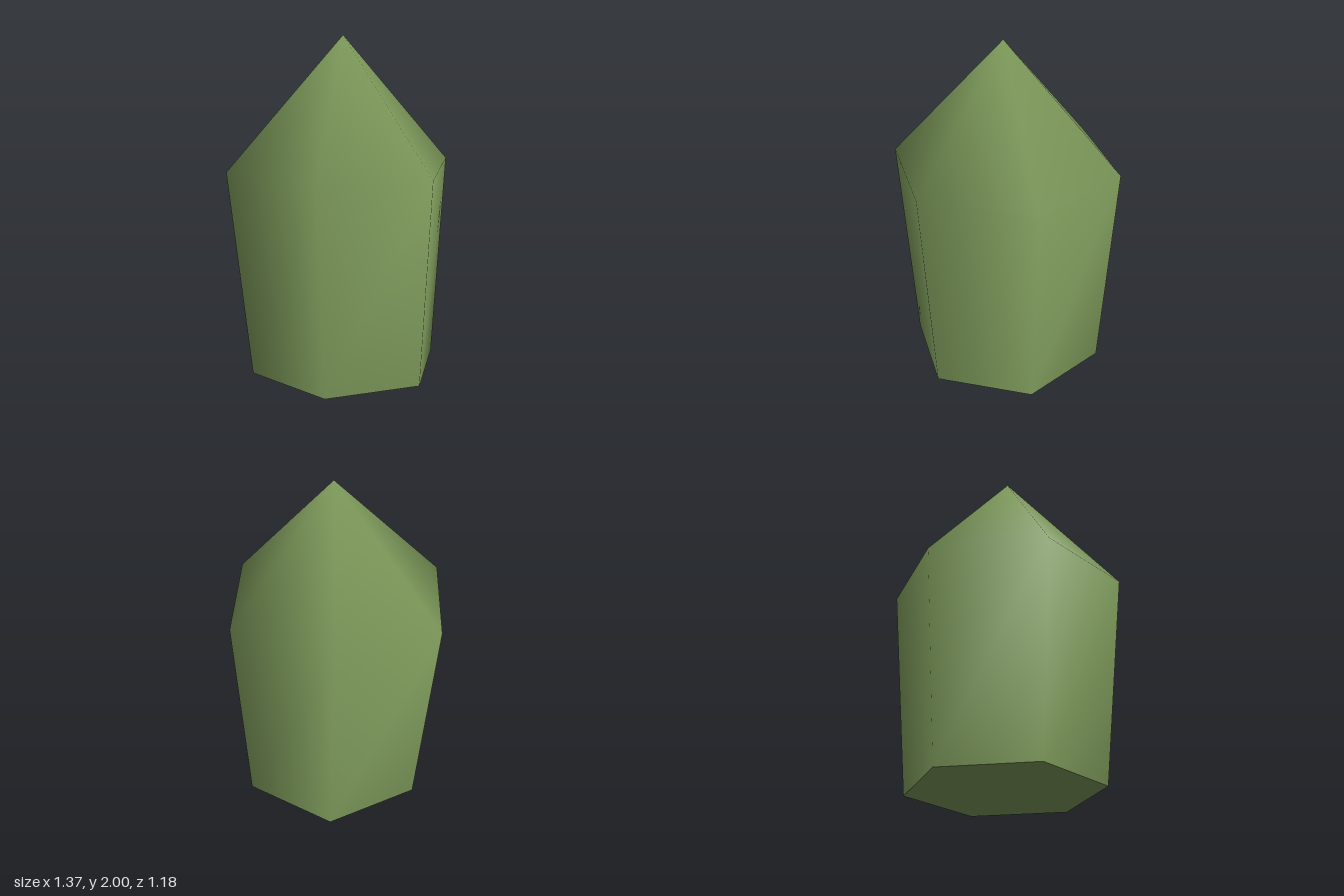
import * as THREE from 'three';

// Six-sided ring of points around (cx, y, cz)
function hexRing(radius, y, cx, cz) {
  const points = [];
  for (let i = 0; i < 6; i++) {
    const a = (i * Math.PI) / 3;
    points.push(cx + radius * Math.cos(a), y, cz - radius * Math.sin(a));
  }
  return points;
}

function smoothGeometry(positions, index) {
  const geometry = new THREE.BufferGeometry();
  geometry.setAttribute('position', new THREE.Float32BufferAttribute(positions, 3));
  geometry.setIndex(index);
  geometry.computeVertexNormals();
  return geometry;
}

export function createModel() {
  const group = new THREE.Group();
  group.name = 'crystal';
  const green = new THREE.MeshStandardMaterial({ color: 0x7f9c5c });
  green.name = 'mossGreen';

  const base = hexRing(0.58, 0, 0.03, 0);
  const shoulder = hexRing(0.683, 1.24, 0, 0);
  const tip = [0.015, 2, 0.015];

  // Shaft flaring up to the shoulder, closed by a pointed tip
  const bodyIndex = [];
  for (let i = 0; i < 6; i++) {
    const j = (i + 1) % 6;
    bodyIndex.push(i, j, 6 + j, i, 6 + j, 6 + i, 6 + i, 6 + j, 12);
  }
  const body = new THREE.Mesh(smoothGeometry([...base, ...shoulder, ...tip], bodyIndex), green);
  body.name = 'crystalBody';

  // Flat underside
  const baseIndex = [];
  for (let i = 1; i < 5; i++) baseIndex.push(0, i + 1, i);
  const underside = new THREE.Mesh(smoothGeometry(base, baseIndex), green);
  underside.name = 'underside';

  group.add(body, underside);
  return group;
}
